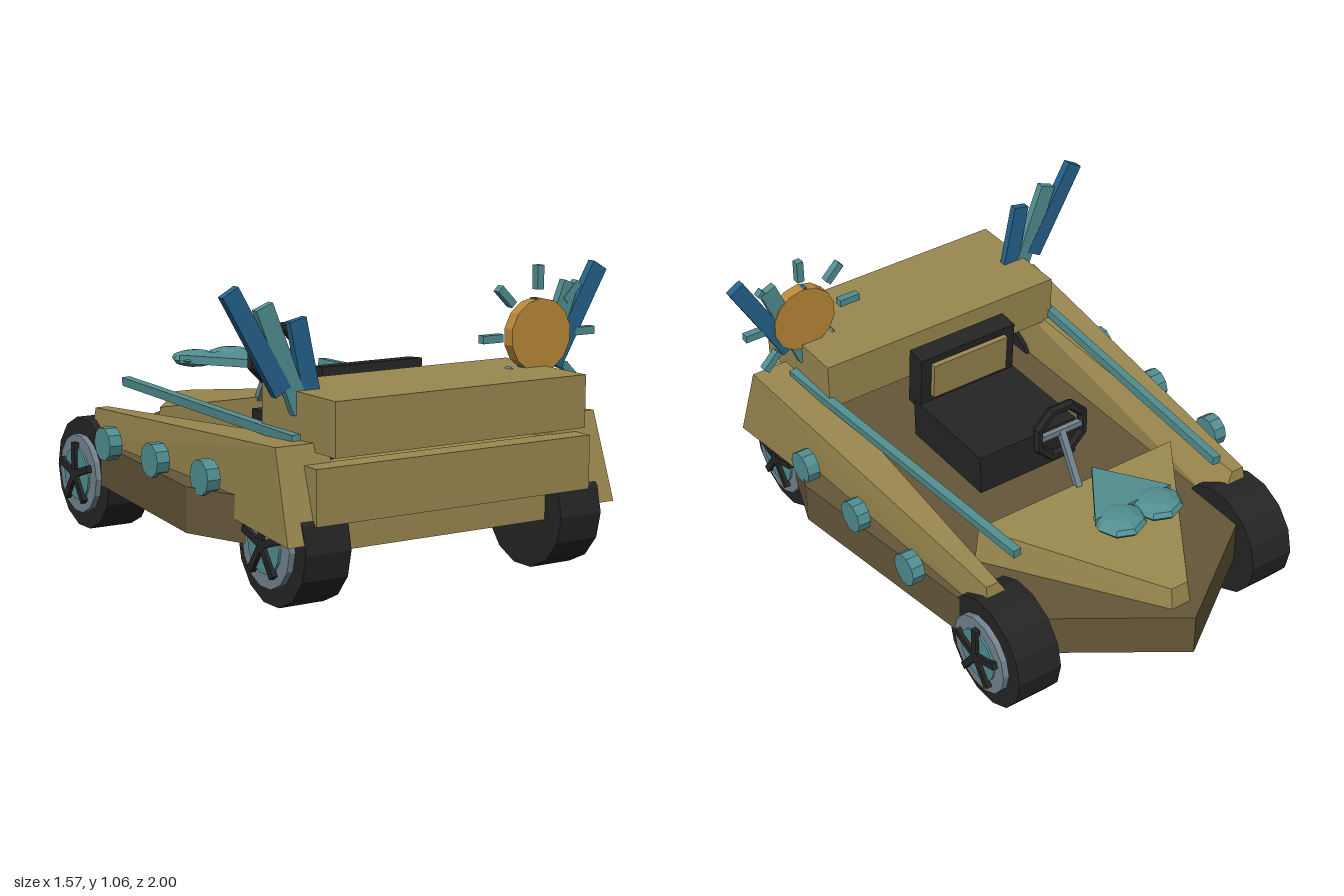
import * as THREE from 'three';
import { ConvexGeometry } from 'three/addons/geometries/ConvexGeometry.js';

const mat = (name, color) => {
  const m = new THREE.MeshStandardMaterial({ color, flatShading: true });
  m.name = name;
  return m;
};

export function createModel() {
  const khaki = mat('khaki', 0x9a884f), brown = mat('dark brown', 0x655739);
  const teal = mat('teal', 0x528f91), blue = mat('blue', 0x24628c);
  const gold = mat('gold', 0xba8a38), black = mat('black', 0x252525);
  const steel = mat('steel', 0x748592);
  const kart = new THREE.Group();
  kart.name = 'kart';

  const add = (name, geo, material, x = 0, y = 0, z = 0, parent = kart) => {
    const m = new THREE.Mesh(geo, material);
    m.name = name;
    m.position.set(x, y, z);
    parent.add(m);
    return m;
  };
  const box = (w, h, d) => new THREE.BoxGeometry(w, h, d);
  const solid = (pts) => new ConvexGeometry(pts.map((p) => new THREE.Vector3(...p)));
  const mirrored = (pts) => pts.flatMap(([x, y, z]) => [[x, y, z], [-x, y, z]]);
  // disc or drum whose axis runs along x or z
  const drum = (r, len, sides, axis) => {
    const g = new THREE.CylinderGeometry(r, r, len, sides);
    return axis === 'x' ? g.rotateZ(Math.PI / 2) : g.rotateX(Math.PI / 2);
  };
  // square bar between two points
  const bar = (name, a, b, w, d, material) => {
    const from = new THREE.Vector3(...a), to = new THREE.Vector3(...b);
    const dir = to.clone().sub(from);
    const m = add(name, box(w, dir.length(), d), material);
    m.position.copy(from).add(to).multiplyScalar(0.5);
    m.quaternion.setFromUnitVectors(new THREE.Vector3(0, 1, 0), dir.normalize());
    return m;
  };

  // chassis: pointed slab with its widest part behind the middle
  const outline = [[0, -1], [0.43, -0.7], [0.595, -0.54], [0.72, 0.4], [0.55, 0.86]];
  add('chassis', solid(mirrored(outline.flatMap(([x, z]) => [[x, 0.19, z], [x, 0.35, z]]))), brown);

  // nose wedge
  add('nose', solid(mirrored([
    [0.035, 0.43, -0.905], [0.04, 0.345, -0.92], [0.43, 0.49, -0.31], [0.45, 0.345, -0.31],
  ])), khaki);

  // rear body and box spoiler
  add('rearBody', box(0.86, 0.29, 0.08), khaki, 0, 0.336, 0.85);
  add('rearBumper', box(1.12, 0.19, 0.085), khaki, 0, 0.395, 0.925);
  add('rearSpoiler', box(1.02, 0.185, 0.45), khaki, 0, 0.6175, 0.775);

  for (const s of [1, -1]) {
    const side = s > 0 ? 'left' : 'right';
    // tapered side panel
    add(side + 'SidePanel', solid([
      [0.45, 0.34, -0.58], [0.58, 0.34, -0.58], [0.57, 0.465, -0.56], [0.52, 0.465, -0.56],
      [0.44, 0.245, 0.97], [0.67, 0.245, 0.97], [0.655, 0.555, 0.87], [0.46, 0.555, 0.87],
    ].map(([x, y, z]) => [s * x, y, z])), khaki);

    // rail and side studs
    bar(side + 'Rail', [s * 0.44, 0.555, -0.56], [s * 0.525, 0.555, 0.79], 0.032, 0.032, teal);
    for (const z of [0.46, 0.11, -0.245]) {
      add(side + 'Stud', drum(0.062, 0.05, 10, 'x'), teal, s * 0.68, 0.39, z);
    }

    // wheels with five-spoke hubs
    for (const z of [-0.595, 0.765]) {
      const wheel = new THREE.Group();
      wheel.name = side + (z < 0 ? 'NoseWheel' : 'TailWheel');
      wheel.position.set(s * 0.52, 0.213, z);
      add('tyre', drum(0.213, 0.175, 14, 'x'), black, 0, 0, 0, wheel);
      add('rim', drum(0.15, 0.03, 14, 'x'), steel, s * 0.095, 0, 0, wheel);
      add('hubDisc', drum(0.1, 0.02, 14, 'x'), teal, s * 0.108, 0, 0, wheel);
      for (let i = 0; i < 5; i++) {
        const g = box(0.02, 0.12, 0.026).translate(0, 0.06, 0).rotateX((i / 5) * Math.PI * 2);
        add('spoke', g, black, s * 0.122, 0, 0, wheel);
      }
      kart.add(wheel);
    }

    // fan of three fins beside the spoiler
    const fins = [
      [[0.56, 0.71], [0.757, 1.05], blue],
      [[0.488, 0.64], [0.63, 0.995], teal],
      [[0.435, 0.63], [0.503, 0.945], blue],
    ];
    fins.forEach(([a, b, m], i) =>
      bar(side + 'Fin', [s * a[0], a[1], 0.752], [s * b[0], b[1], 0.752], 0.066, 0.032 - i * 0.002, m));
  }

  // seat with a leaning backrest and inset pad
  add('seat', box(0.43, 0.16, 0.44), black, 0, 0.43, 0.21);
  const back = new THREE.Group();
  back.name = 'backrest';
  back.position.set(0, 0.6, 0.425);
  back.rotation.x = -0.08;
  add('backFrame', box(0.42, 0.24, 0.08), black, 0, 0, 0, back);
  add('backPad', box(0.33, 0.15, 0.03), khaki, 0, 0.015, -0.045, back);
  kart.add(back);

  // steering wheel and column
  const ring = new THREE.TorusGeometry(0.105, 0.02, 6, 8).rotateZ(Math.PI / 8);
  add('steeringWheel', ring, black, 0, 0.67, -0.205);
  add('steeringBar', box(0.19, 0.022, 0.02), steel, 0, 0.67, -0.21);
  bar('steeringColumn', [0, 0.47, -0.325], [0, 0.67, -0.21], 0.024, 0.024, steel);

  // heart ornament over the nose: flat wedge and two rounded lobes
  const heart = new THREE.Group();
  heart.name = 'heart';
  add('heartPoint', solid([0.59, 0.622].flatMap((y) =>
    [[0, y, -0.395], [0.165, y, -0.635], [-0.165, y, -0.635]])), teal, 0, 0, 0, heart);
  for (const s of [1, -1]) {
    add('heartLobe', new THREE.SphereGeometry(0.095, 8, 6).scale(1, 0.34, 1),
      teal, s * 0.08, 0.6, -0.665, heart);
  }
  kart.add(heart);

  // sun ornament with eight rays
  const sun = new THREE.Group();
  sun.name = 'sun';
  sun.position.set(0.49, 0.82, 0.755);
  add('sunDisc', drum(0.13, 0.045, 14, 'z'), gold, 0, 0, 0, sun);
  for (let i = 0; i < 8; i++) {
    const g = box(0.028, 0.085, 0.03).translate(0, 0.202, 0).rotateZ((i * Math.PI) / 4);
    add('sunRay', g, teal, 0, 0, 0, sun);
  }
  kart.add(sun);

  return kart;
}
